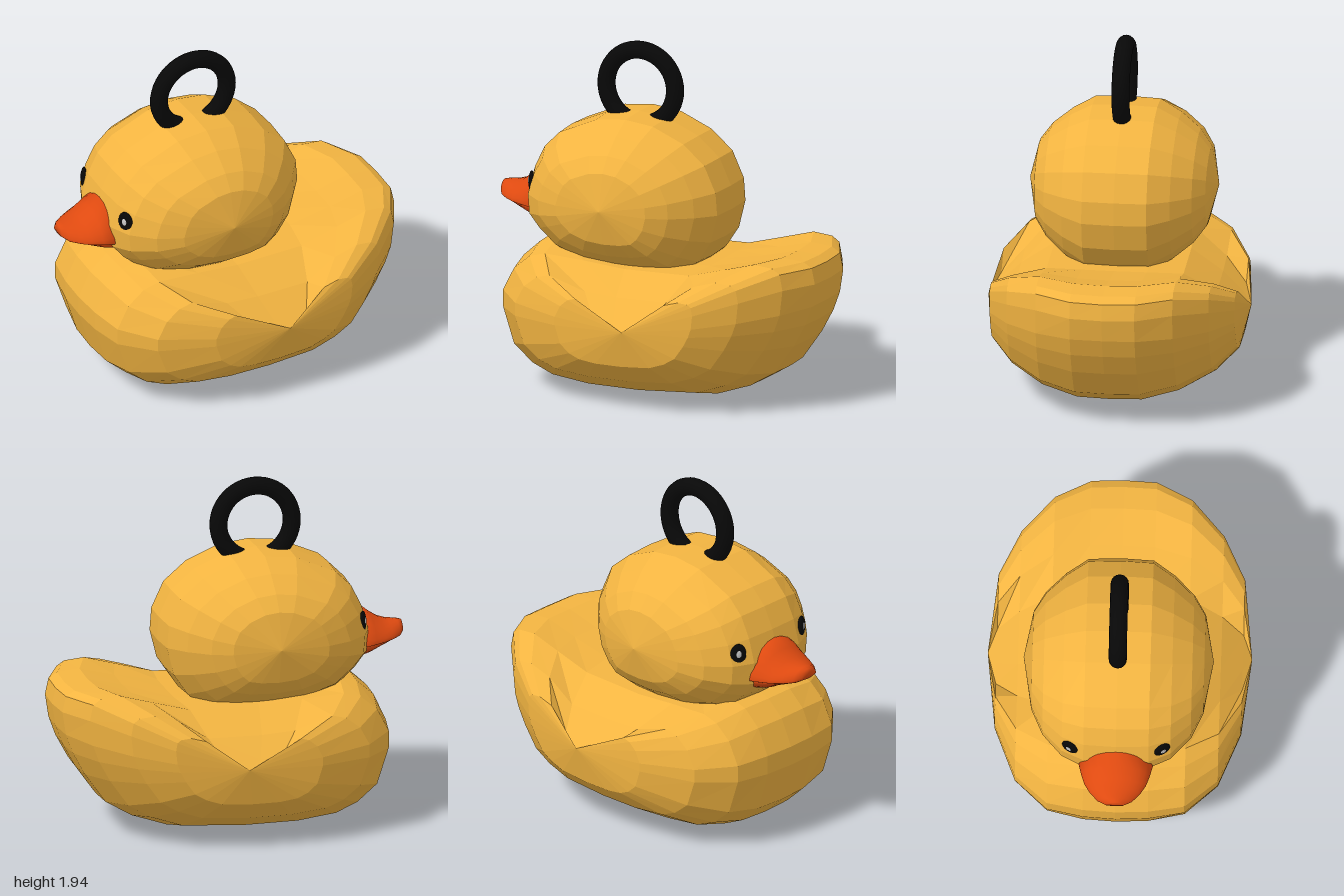
import * as THREE from 'three';

const V = (x, y, z) => new THREE.Vector3(x, y, z);

// Skin a list of closed rings (nearest ring first, each counter-clockwise)
function loft(rings) {
  const n = rings[0].length, index = [];
  for (let i = 0; i < rings.length - 1; i++) {
    for (let j = 0; j < n; j++) {
      const k = (j + 1) % n;
      const a = i * n + j, b = a + n, c = (i + 1) * n + k, d = i * n + k;
      index.push(a, b, c, a, c, d);
    }
  }
  const geo = new THREE.BufferGeometry().setFromPoints(rings.flat());
  geo.setIndex(index);
  geo.computeVertexNormals();
  return geo;
}

// Side profile swept across z, shrinking towards a pole on each flank.
// half: rings from the pole to the middle; scaleAt gives [sx, sy] per point
function sidePolesGeometry(profile, cx, cy, half, scaleAt) {
  const mirrored = half.slice(0, -1).map((r) => ({ ...r, z: -r.z })).reverse();
  return loft([...half, ...mirrored].map((ring) =>
    profile.map(([x, y]) => {
      const [sx, sy] = scaleAt(ring, x, y);
      return V(cx + (x - cx) * sx, cy + (y - cy) * sy, ring.z);
    })));
}

const BODY = [
  [1.0, 0.74], [0.98, 0.83], [0.93, 0.86], [0.8, 0.87], [0.6, 0.82], [0.35, 0.77],
  [-0.1, 0.76], [-0.38, 0.78], [-0.6, 0.82], [-0.7, 0.79], [-0.8, 0.7], [-0.87, 0.55],
  [-0.87, 0.44], [-0.8, 0.21], [-0.68, 0.1], [-0.55, 0.04], [-0.35, 0.01], [0, 0.01],
  [0.4, 0.04], [0.6, 0.11], [0.75, 0.2], [0.87, 0.37], [0.94, 0.5], [0.98, 0.61],
];
// s: general scale, front: chest width, tail: tail height, saddle: back height
const BODY_RINGS = [
  { z: 0.73, s: 0, front: 0, tail: 0, saddle: 0 },
  { z: 0.68, s: 0.44, front: 0.46, tail: 0.52, saddle: 0.16 },
  { z: 0.56, s: 0.68, front: 0.78, tail: 0.8, saddle: 0.54 },
  { z: 0.38, s: 0.88, front: 0.95, tail: 1, saddle: 0.96 },
  { z: 0.18, s: 0.99, front: 0.99, tail: 1, saddle: 1 },
  { z: 0, s: 1, front: 1, tail: 0.99, saddle: 1 },
];
function bodyScale(r, x, y) {
  const sx = x < -0.5 ? r.front : r.s;
  if (y < 0.7 || x < -0.5) return [sx, r.s];
  return [sx, x > 0.5 ? r.tail : r.saddle];
}

const HEAD = [
  [0.4, 1.06], [0.39, 1.19], [0.32, 1.34], [0.19, 1.45], [0, 1.53], [-0.17, 1.55],
  [-0.35, 1.53], [-0.58, 1.43], [-0.67, 1.34], [-0.73, 1.22], [-0.77, 1.08], [-0.76, 0.95],
  [-0.69, 0.86], [-0.58, 0.76], [-0.4, 0.69], [-0.17, 0.67], [0.05, 0.68], [0.2, 0.71],
  [0.28, 0.78], [0.36, 0.9],
];
// s: general scale, front: face width
const HEAD_RINGS = [
  { z: 0.525, s: 0, front: 0 }, { z: 0.475, s: 0.46, front: 0.48 },
  { z: 0.41, s: 0.65, front: 0.71 }, { z: 0.3, s: 0.84, front: 0.9 },
  { z: 0.18, s: 0.985, front: 0.985 }, { z: 0, s: 1, front: 1 },
];
const headScale = (r, x) => [x < -0.5 ? r.front : r.s, r.s];

// Bill stations: [x, half width, top, mouth line, bottom]
const BILL = [
  [-1.0, 0, 1.035, 1.035, 1.035], [-0.997, 0.05, 1.062, 1.015, 1.0],
  [-0.97, 0.095, 1.068, 1.0, 0.98], [-0.92, 0.14, 1.07, 0.995, 0.96],
  [-0.87, 0.17, 1.085, 0.99, 0.94], [-0.81, 0.19, 1.125, 0.985, 0.905],
  [-0.75, 0.205, 1.175, 0.98, 0.885], [-0.62, 0.15, 1.15, 0.98, 0.9],
];

function billGeometry(upper) {
  const n = 24;
  return loft(BILL.map(([x, w, top, mouth, bottom]) => {
    const ring = [];
    for (let j = 0; j < n; j++) {
      const a = (j / n) * Math.PI * 2, s = Math.sin(a), c = Math.cos(a);
      if (upper) {
        const y = s > 0 ? mouth + (top - mouth) * Math.pow(s, 1.25) : mouth + 0.012 * s;
        ring.push(V(x, y, w * c));
      } else {
        const y = s > 0 ? mouth - 0.01 : mouth - 0.01 + (mouth - bottom - 0.01) * s;
        ring.push(V(x + 0.02, y, w * 0.9 * c));
      }
    }
    return ring;
  }));
}

export function createModel() {
  const model = new THREE.Group();
  model.name = 'duck';
  const yellow = new THREE.MeshStandardMaterial({ color: 0xf2b441, flatShading: true });
  const orange = new THREE.MeshStandardMaterial({ color: 0xdf4a10 });
  const black = new THREE.MeshStandardMaterial({ color: 0x080808 });
  const grey = new THREE.MeshStandardMaterial({ color: 0xcccccc });

  const add = (name, geometry, material, parent = model) => {
    const mesh = new THREE.Mesh(geometry, material);
    mesh.name = name;
    parent.add(mesh);
    return mesh;
  };

  // Faceted body with saddle back and upturned tail, and the head
  add('body', sidePolesGeometry(BODY, 0.07, 0.49, BODY_RINGS, bodyScale), yellow);
  add('head', sidePolesGeometry(HEAD, -0.17, 1.1, HEAD_RINGS, headScale), yellow);

  // Bill in two halves
  add('upperBill', billGeometry(true), orange);
  add('lowerBill', billGeometry(false), orange);

  // Oval eyes, each with a small highlight, facing forward and outward
  for (const side of [1, -1]) {
    const eye = new THREE.Group();
    eye.name = side > 0 ? 'leftEye' : 'rightEye';
    eye.position.set(-0.708, 1.14, side * 0.255);
    eye.rotation.y = side > 0 ? -1.1 : Math.PI + 1.1;
    model.add(eye);
    const ball = add('eyeball', new THREE.SphereGeometry(1, 24, 16), black, eye);
    ball.scale.set(0.048, 0.066, 0.018);
    const glint = add('eyeHighlight', new THREE.SphereGeometry(1, 16, 12), grey, eye);
    glint.scale.set(0.016, 0.022, 0.005);
    glint.position.set(0, 0.01, 0.016);
  }

  // Hanging ring sunk into the crown
  const ring = add('hangingRing', new THREE.TorusGeometry(0.21, 0.05, 16, 48), black);
  ring.position.set(-0.163, 1.69, 0);

  return model;
}
